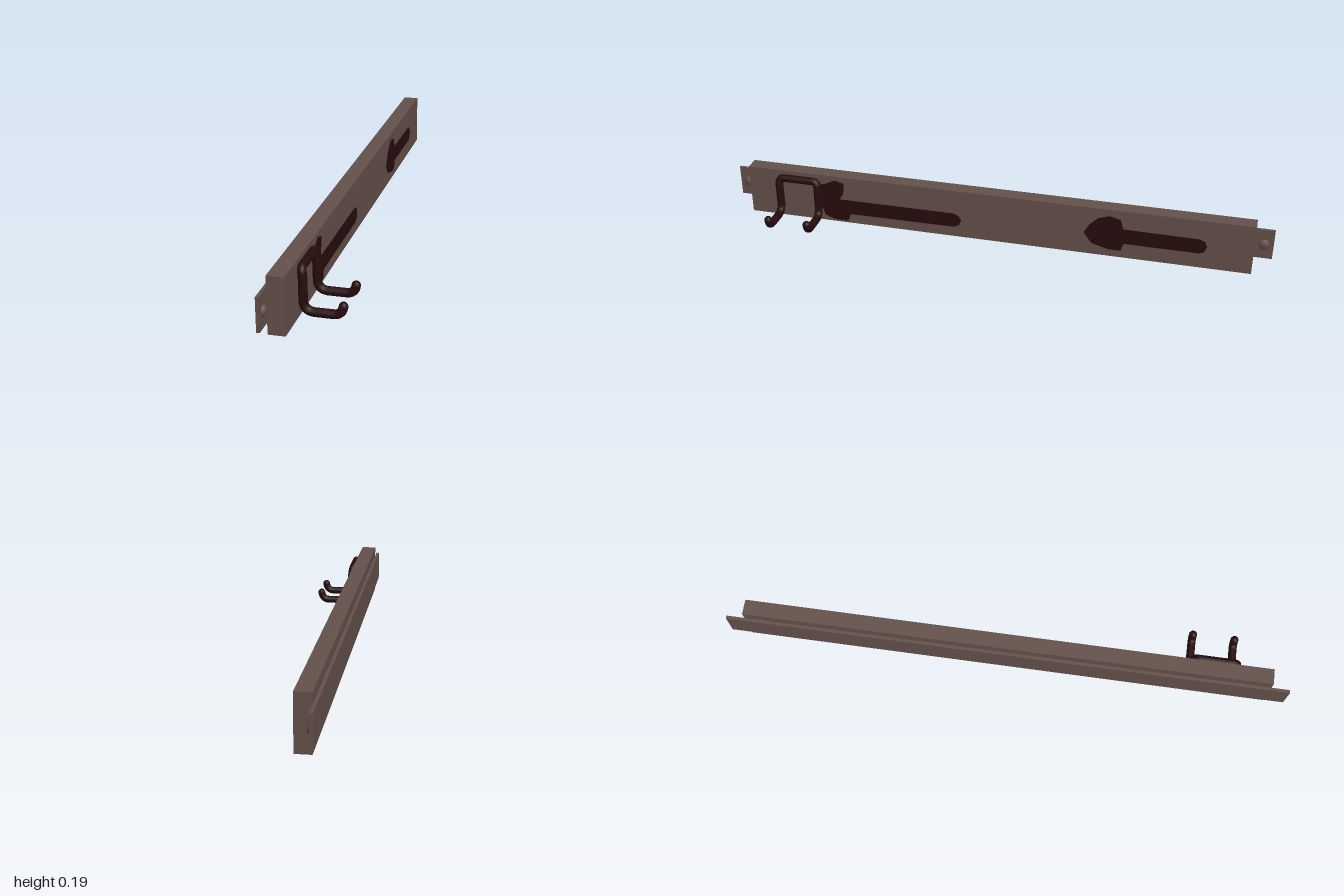
import * as THREE from 'three';

const brown = new THREE.MeshStandardMaterial({ color: 0x64504a });
brown.name = 'brownMetal';
const dark = new THREE.MeshStandardMaterial({ color: 0x260c0c });
dark.name = 'darkIron';

function add(parent, name, geometry, material, x = 0, y = 0, z = 0) {
  const mesh = new THREE.Mesh(geometry, material);
  mesh.name = name;
  mesh.position.set(x, y, z);
  parent.add(mesh);
  return mesh;
}

// Polyline with rounded corners; each point is [x, y, z, cornerRadius]
function roundedPath(points) {
  const path = new THREE.CurvePath();
  const v = points.map((p) => new THREE.Vector3(p[0], p[1], p[2]));
  let last = v[0];
  for (let i = 1; i < v.length - 1; i++) {
    const r = points[i][3];
    const a = v[i].clone().add(v[i - 1].clone().sub(v[i]).setLength(r));
    const b = v[i].clone().add(v[i + 1].clone().sub(v[i]).setLength(r));
    path.add(new THREE.LineCurve3(last, a));
    path.add(new THREE.QuadraticBezierCurve3(a, v[i], b));
    last = b;
  }
  path.add(new THREE.LineCurve3(last, v[v.length - 1]));
  return path;
}

// Thin dark silhouette on the rail face, outline given as [z, y]
function marking(parent, name, outline) {
  const shape = new THREE.Shape(outline.map(([z, y]) => new THREE.Vector2(-z, y)));
  const geometry = new THREE.ExtrudeGeometry(shape, { depth: 0.003, bevelEnabled: false });
  add(parent, name, geometry, dark, -0.046).rotation.y = Math.PI / 2;
}

export function createModel() {
  const group = new THREE.Group();
  group.name = 'wallHookRail';

  // Rail and the longer mounting strip behind it
  add(group, 'rail', new THREE.BoxGeometry(0.055, 0.188, 1.87), brown, -0.0725, 0.094, 0);
  add(group, 'mountingStrip', new THREE.BoxGeometry(0.011, 0.112, 2), brown, -0.1055, 0.094, 0);

  // Domed screws on both strip ends
  const dome = new THREE.LatheGeometry(
    [[0.019, 0], [0.018, 0.005], [0.012, 0.01], [0, 0.012]].map(([x, y]) => new THREE.Vector2(x, y)), 16);
  for (const side of [-1, 1]) {
    add(group, 'screw', dome, brown, -0.1, 0.094, side * 0.966).rotation.z = -Math.PI / 2;
  }

  // Double hook bent from a single rod
  const hook = new THREE.Group();
  hook.name = 'doubleHook';
  group.add(hook);
  const arm = (z) => [
    [0.095, 0.053, z, 0], [0.09, 0.024, z, 0.026], [-0.029, 0.024, z, 0.038],
    [-0.029, 0.14, z, 0.012], [-0.034, 0.163, z, 0.02],
  ];
  const path = roundedPath([...arm(0.66), ...arm(0.81).reverse()]);
  add(hook, 'hookRod', new THREE.TubeGeometry(path, 140, 0.0145, 12), dark);
  for (const z of [0.66, 0.81]) {
    add(hook, 'hookTip', new THREE.SphereGeometry(0.0146, 12, 8), dark, 0.095, 0.053, z);
  }

  // Dark arrow-like markings on the rail face
  marking(group, 'frontMarking', [
    [0.66, 0.145], [0.63, 0.155], [0.595, 0.172], [0.56, 0.162], [0.565, 0.12], [0.58, 0.095],
    [0.14, 0.095], [0.12, 0.085], [0.112, 0.068], [0.12, 0.05], [0.14, 0.04], [0.54, 0.038],
    [0.55, 0.008], [0.6, 0.008], [0.64, 0.022], [0.655, 0.07],
  ]);
  marking(group, 'backMarking', [
    [-0.34, 0.085], [-0.36, 0.12], [-0.39, 0.15], [-0.43, 0.163], [-0.47, 0.152], [-0.48, 0.116],
    [-0.75, 0.114], [-0.768, 0.105], [-0.775, 0.086], [-0.768, 0.066], [-0.75, 0.058],
    [-0.485, 0.058], [-0.475, 0.028], [-0.43, 0.028], [-0.37, 0.045],
  ]);
  return group;
}
